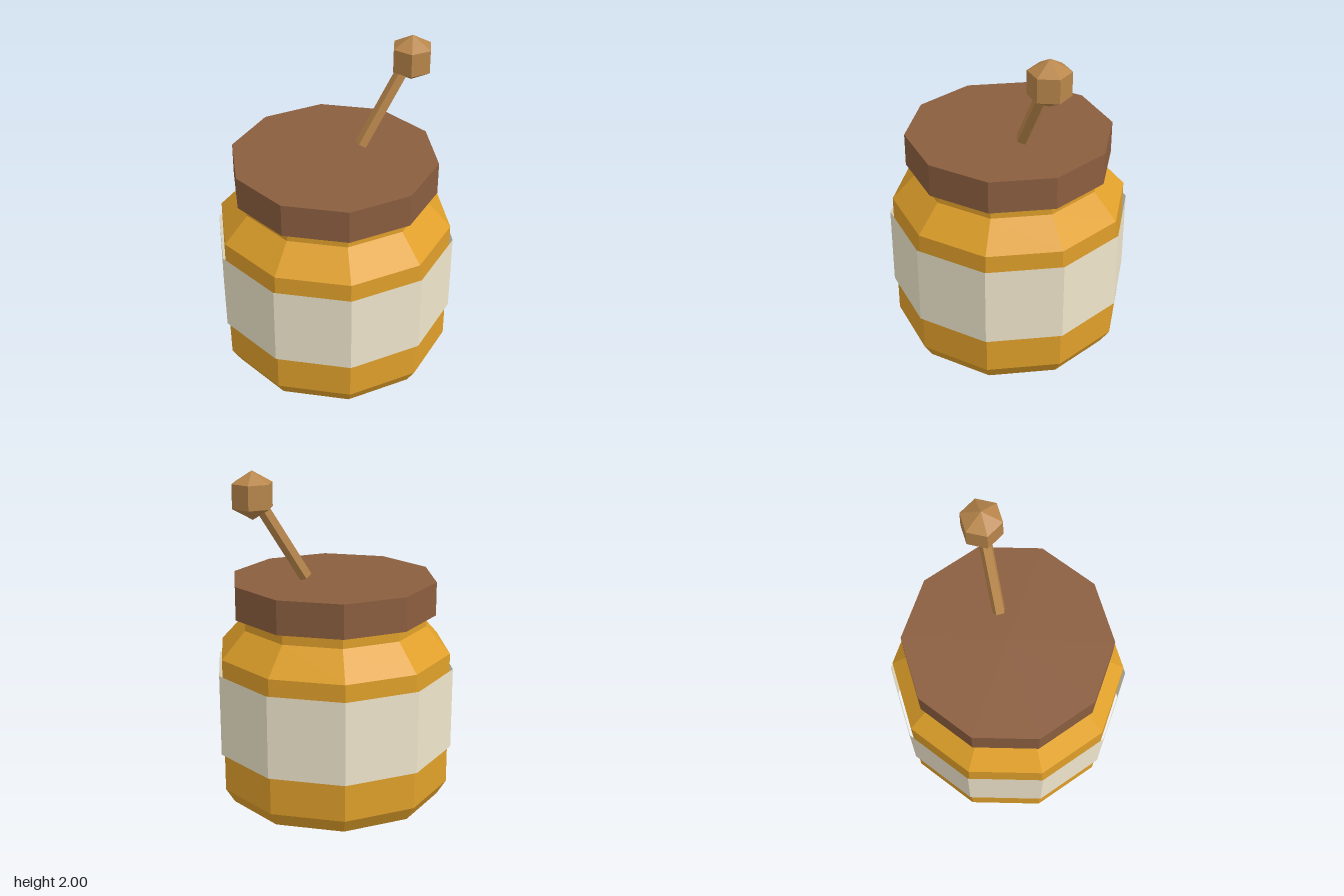
import * as THREE from 'three';

const SIDES = 10;
const START = Math.PI / 2; // puts a corner on the x axis

function addPart(parent, name, geometry, color, side = THREE.FrontSide) {
  const material = new THREE.MeshStandardMaterial({ color, flatShading: true, side });
  const mesh = new THREE.Mesh(geometry, material);
  mesh.name = name;
  parent.add(mesh);
  return mesh;
}

export function createModel() {
  const model = new THREE.Group();
  model.name = 'honeyJar';

  // Jar body: chamfered base, straight wall, sloped shoulder, short neck
  const profile = [
    [0, 0], [0.65, 0], [0.705, 0.09], [0.705, 0.91], [0.56, 1.07], [0.56, 1.16], [0, 1.16],
  ].map(([r, y]) => new THREE.Vector2(r, y));
  addPart(model, 'jar', new THREE.LatheGeometry(profile, SIDES, START), 0xe0a02a);

  // Paper label: thin open band standing just off the wall
  const label = addPart(model, 'label',
    new THREE.CylinderGeometry(0.725, 0.725, 0.495, SIDES, 1, true, START), 0xf0e6cc, THREE.DoubleSide);
  label.position.y = 0.5675;

  // Lid
  const lid = addPart(model, 'lid',
    new THREE.CylinderGeometry(0.615, 0.615, 0.2, SIDES, 1, false, START), 0x8b5e3f);
  lid.position.y = 1.24;

  // Honey dipper: leaning five-sided stick with a faceted head
  const dipper = new THREE.Group();
  dipper.name = 'dipper';
  model.add(dipper);
  const tilt = 0.55;
  const length = 0.55;
  const stick = addPart(dipper, 'stick',
    new THREE.CylinderGeometry(0.04, 0.04, length, 5, 1, false, START), 0xb8864b);
  stick.rotation.z = -tilt;
  stick.position.set(0.178 + Math.sin(tilt) * length / 2, 1.36 + Math.cos(tilt) * length / 2, 0);

  const head = addPart(dipper, 'dipperHead', new THREE.SphereGeometry(0.14, 6, 3), 0xb8864b);
  head.position.set(0.497, 1.86, 0);

  return model;
}
